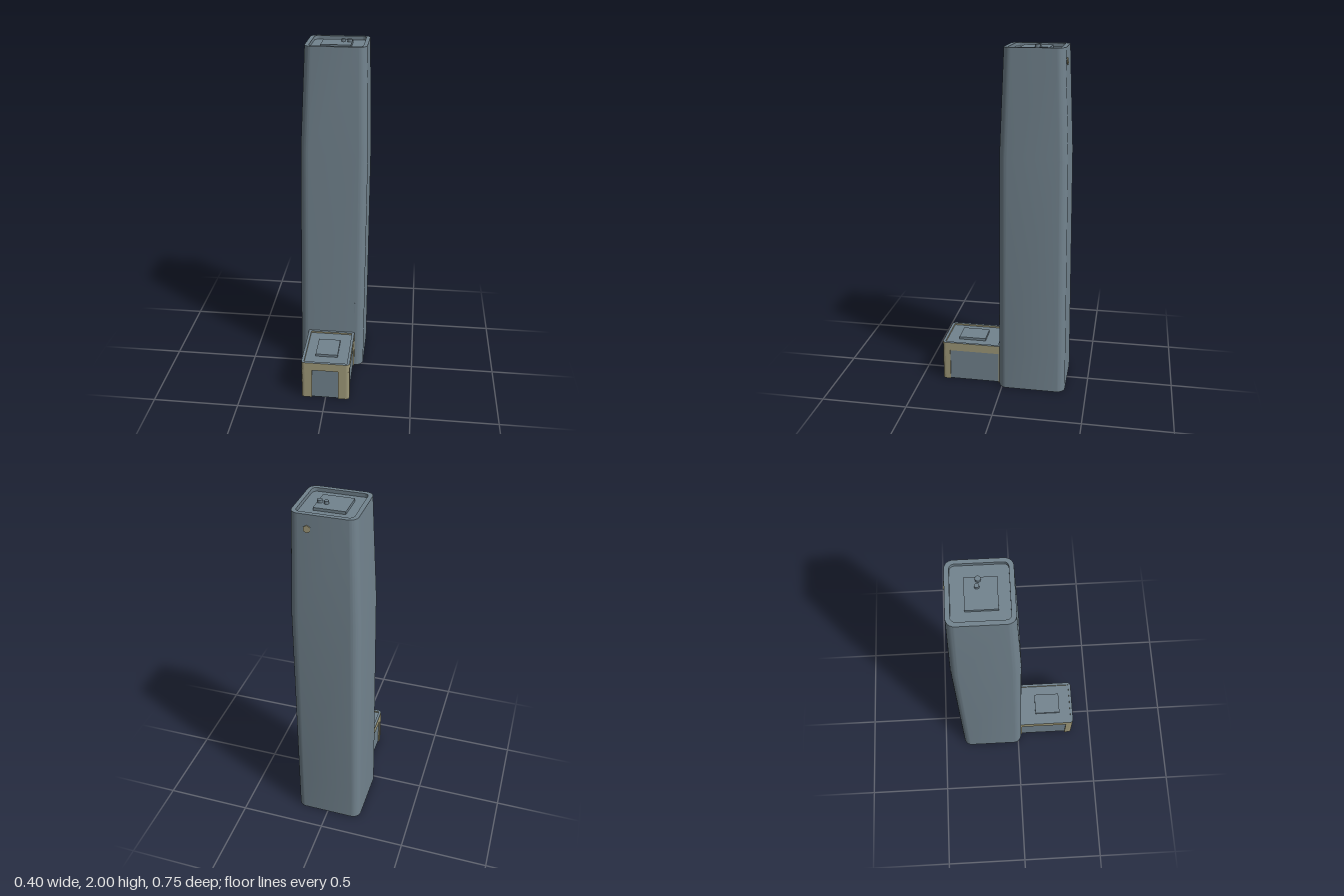
import * as THREE from 'three';
import { toCreasedNormals } from 'three/addons/utils/BufferGeometryUtils.js';

const slate = new THREE.MeshStandardMaterial({ color: 0x72838e, side: THREE.DoubleSide });
slate.name = 'slate';
const sand = new THREE.MeshStandardMaterial({ color: 0xa09a7a, side: THREE.DoubleSide });
sand.name = 'sand';

const DOOR = { x0: -0.143, x1: 0.14, top: 0.24 };
const ARC = 12;

// Rounded rectangle ring at height y, with two extra points on the front edge
function ring({ y, x0, x1, z0, z1, r }) {
  const pts = [];
  const corner = (cx, cz, a0) => {
    for (let k = 0; k <= ARC; k++) {
      const a = a0 + (k / ARC) * Math.PI / 2;
      pts.push([cx + r * Math.cos(a), y, cz + r * Math.sin(a)]);
    }
  };
  corner(x1 - r, z1 - r, 0);
  pts.push([Math.min(DOOR.x1, x1 - r), y, z1], [Math.max(DOOR.x0, x0 + r), y, z1]);
  corner(x0 + r, z1 - r, Math.PI / 2);
  corner(x0 + r, z0 + r, Math.PI);
  corner(x1 - r, z0 + r, Math.PI * 1.5);
  return pts;
}

// Skin between rings, leaving the passage to the annex open
function loft(sections) {
  const rings = sections.map(ring);
  const n = rings[0].length;
  const pos = [];
  for (let j = 0; j < rings.length - 1; j++) {
    for (let i = 0; i < n; i++) {
      if (j === 0 && i === ARC + 1) continue;
      const k = (i + 1) % n;
      const a = rings[j][i], b = rings[j][k], c = rings[j + 1][i], d = rings[j + 1][k];
      pos.push(...a, ...c, ...b, ...b, ...c, ...d);
    }
  }
  const g = new THREE.BufferGeometry();
  g.setAttribute('position', new THREE.Float32BufferAttribute(pos, 3));
  return toCreasedNormals(g, 0.3);
}

// Plan shape (x, z) raised from y0 to y1
function raise(shape, y0, y1) {
  const g = new THREE.ExtrudeGeometry(shape, { depth: y1 - y0, bevelEnabled: false, curveSegments: 6 });
  g.rotateX(-Math.PI / 2);
  return g.translate(0, y0, 0);
}

export function createModel() {
  const model = new THREE.Group();
  const add = (name, geo, mat, parent = model) => {
    const m = new THREE.Mesh(geo, mat);
    m.name = name;
    parent.add(m);
    return m;
  };
  // Box given by its limits
  const block = (name, x0, x1, y0, y1, z0, z1, mat, parent) => {
    const m = add(name, new THREE.BoxGeometry(x1 - x0, y1 - y0, z1 - z0), mat, parent);
    m.position.set((x0 + x1) / 2, (y0 + y1) / 2, (z0 + z1) / 2);
    return m;
  };

  // Tower: tapering walls, parapet rim and sunken roof
  const tower = new THREE.Group();
  tower.name = 'tower';
  model.add(tower);
  add('towerShell', loft([
    { y: 0, x0: -0.199, x1: 0.192, z0: -0.373, z1: 0.02, r: 0.05 },
    { y: DOOR.top, x0: -0.197, x1: 0.193, z0: -0.371, z1: 0.02, r: 0.05 },
    { y: 1.4, x0: -0.184, x1: 0.197, z0: -0.36, z1: 0.017, r: 0.05 },
    { y: 1.99, x0: -0.157, x1: 0.182, z0: -0.334, z1: -0.006, r: 0.045 },
    { y: 1.99, x0: -0.134, x1: 0.16, z0: -0.31, z1: -0.03, r: 0.025 },
    { y: 1.97, x0: -0.134, x1: 0.16, z0: -0.31, z1: -0.03, r: 0.025 },
    { y: 1.97, x0: 0.013, x1: 0.013, z0: -0.17, z1: -0.17, r: 0 },
  ]), slate, tower);
  block('plantRoom', -0.077, 0.09, 1.965, 1.985, -0.244, -0.086, slate, tower);
  for (const [x, z, r] of [[0.04, -0.183, 0.012], [0.076, -0.177, 0.014]]) {
    add('roofVent', new THREE.CylinderGeometry(r, r, 0.025, 20), slate, tower).position.set(x, 1.9875, z);
  }

  // Small six-sided plaque high on the back, and a fin low on the front
  const plaque = add('backPlaque', new THREE.CylinderGeometry(0.02, 0.02, 0.008, 6), sand, tower);
  plaque.rotation.x = -Math.PI / 2 + 0.044;
  plaque.position.set(0.09, 1.915, -0.339);
  block('frontFin', 0.136, 0.14, 0.38, 0.45, 0.017, 0.024, slate, tower);

  // Annex: parapet band over corner posts, with recessed panels
  const annex = new THREE.Group();
  annex.name = 'annex';
  model.add(annex);
  const { x0, x1 } = DOOR, back = 0.015, front = 0.372, r = 0.022, t = 0.016;
  const band = new THREE.Shape();
  band.moveTo(x0, -back);
  band.lineTo(x0, -front + r);
  band.absarc(x0 + r, -front + r, r, Math.PI, Math.PI * 1.5, false);
  band.lineTo(x1 - r, -front);
  band.absarc(x1 - r, -front + r, r, -Math.PI / 2, 0, false);
  band.lineTo(x1, -back);
  band.closePath();
  const inner = new THREE.Path();
  inner.moveTo(x0 + t, -0.035);
  inner.lineTo(x1 - t, -0.035);
  inner.lineTo(x1 - t, -front + t);
  inner.lineTo(x0 + t, -front + t);
  inner.closePath();
  band.holes.push(inner);
  add('parapetBand', raise(band, 0.19, DOOR.top), [slate, sand], annex);

  for (const side of [-1, 1]) {
    const ex = side < 0 ? x0 : x1;           // outer wall line
    const jamb = side < 0 ? -0.08 : 0.075;   // edge of the front opening
    const post = new THREE.Shape();
    post.moveTo(ex, -0.325);
    post.lineTo(ex, -front + r);
    post.quadraticCurveTo(ex, -front, ex - side * r, -front);
    post.lineTo(jamb, -front);
    post.lineTo(jamb, -front + t);
    post.lineTo(ex - side * t, -front + t);
    post.lineTo(ex - side * t, -0.325);
    post.closePath();
    add('cornerPost', raise(post, 0, 0.19), sand, annex);

    const a = Math.min(ex, ex - side * t), b = Math.max(ex, ex - side * t);
    block('backPost', a, b, 0, 0.19, back, 0.028, sand, annex);
    const px = ex - side * 0.01;
    block('sidePanel', px - 0.002, px + 0.002, 0, 0.19, 0.028, 0.325, slate, annex);
  }
  block('frontPanel', -0.08, 0.075, 0, 0.19, 0.36, 0.364, slate, annex);
  block('annexRoof', x0 + t, x1 - t, 0.222, 0.23, 0.02, front - t, slate, annex);
  block('annexRoofUnit', -0.068, 0.062, 0.23, 0.245, 0.122, 0.284, slate, annex);

  return model;
}
